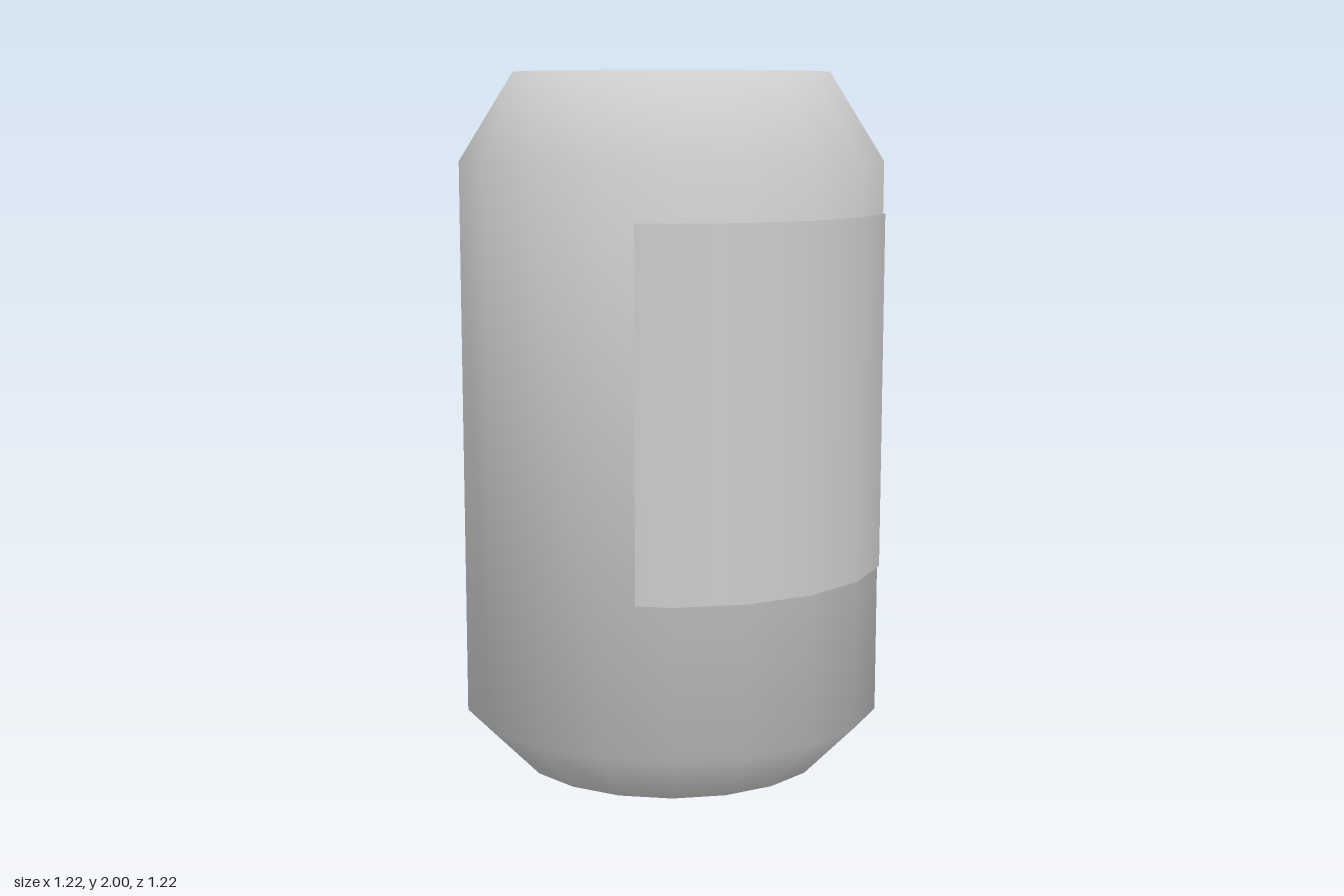
import * as THREE from 'three';

const SIDES = 19;
const RADIUS = 0.613;

const metal = new THREE.MeshStandardMaterial({ color: 0xcccccc });
metal.name = 'plain metal grey';

function addMesh(parent, name, geometry) {
  const mesh = new THREE.Mesh(geometry, metal);
  mesh.name = name;
  parent.add(mesh);
  return mesh;
}

// Lathe whose normals average neighbouring profile segments equally
function softLathe(profile, sides = SIDES) {
  const points = profile.map(([r, y]) => new THREE.Vector2(r, y));
  const geometry = new THREE.LatheGeometry(points, sides, Math.PI);
  const segments = points.slice(1).map((p, i) => {
    const d = p.clone().sub(points[i]).normalize();
    return new THREE.Vector2(d.y, -d.x);
  });
  const rows = points.map((p, i) => {
    const before = segments[Math.max(i - 1, 0)];
    const after = segments[Math.min(i, segments.length - 1)];
    return p.x === 0 ? new THREE.Vector2(0, Math.sign(before.y + after.y))
      : before.clone().add(after).normalize();
  });
  const normal = geometry.attributes.normal;
  for (let k = 0; k < normal.count; k++) {
    const row = rows[k % points.length];
    const phi = Math.PI + Math.floor(k / points.length) / sides * Math.PI * 2;
    normal.setXYZ(k, row.x * Math.sin(phi), row.y, row.x * Math.cos(phi));
  }
  return geometry;
}

// Flat plate lying in the xz plane, shape y pointing to the back
function plate(shape, depth, bevel) {
  return new THREE.ExtrudeGeometry(shape, {
    depth, bevelEnabled: bevel > 0, bevelSize: bevel, bevelOffset: -bevel,
    bevelThickness: bevel, bevelSegments: 3, curveSegments: 16,
  }).rotateX(-Math.PI / 2);
}

// Curved label that follows the facets of the body
function labelGeometry() {
  const step = Math.PI * 2 / SIDES;
  const arc = step * 6;
  const geometry = new THREE.CylinderGeometry(1, 1, 1.015, 24, 1, true, -arc / 2, arc);
  const pos = geometry.attributes.position;
  for (let i = 0; i < pos.count; i++) {
    const angle = Math.atan2(pos.getX(i), pos.getZ(i));
    const local = angle - Math.round(angle / step) * step;
    const r = RADIUS * Math.cos(step / 2) / Math.cos(local) + 0.006;
    pos.setX(i, r * Math.sin(angle));
    pos.setZ(i, r * Math.cos(angle));
  }
  return geometry.translate(0, 1.097, 0);
}

function pullTab() {
  const tab = new THREE.Group();
  tab.name = 'pullTab';
  const pivot = 0.1;

  // Rounded outline with a finger window and a round rivet opening
  const outline = new THREE.Shape();
  outline.absarc(0, pivot, 0.12, 0, Math.PI, false);
  outline.absarc(0, -0.135, 0.12, Math.PI, Math.PI * 2, false);
  outline.closePath();
  const window = new THREE.Path();
  window.moveTo(-0.045, -0.055);
  window.quadraticCurveTo(0, -0.045, 0.045, -0.055);
  window.lineTo(0.068, -0.175);
  window.quadraticCurveTo(0, -0.21, -0.068, -0.175);
  window.closePath();
  const opening = new THREE.Path();
  opening.absarc(0, pivot, 0.094, 0, Math.PI * 2, true);
  outline.holes.push(window, opening);
  addMesh(tab, 'tabPlate', plate(outline, 0.009, 0.008)).position.y = 0.008;

  // Tongue joined to the tab at the back
  const tongue = new THREE.Shape();
  tongue.absarc(0, pivot, 0.068, 0, Math.PI * 2, false);
  addMesh(tab, 'tongue', plate(tongue, 0.008, 0.004)).position.y = 0.005;
  const bridge = new THREE.Shape();
  bridge.absarc(0, pivot, 0.098, Math.PI * 0.25, Math.PI * 0.75, false);
  bridge.absarc(0, pivot, 0.055, Math.PI * 0.75, Math.PI * 0.25, true);
  bridge.closePath();
  addMesh(tab, 'tongueBridge', plate(bridge, 0.012, 0)).position.y = 0.003;

  // Domed rivet
  const rivet = softLathe([[0.045, 0], [0.045, 0.022], [0.036, 0.029], [0.02, 0.032], [0, 0.033]], 20);
  addMesh(tab, 'rivet', rivet).position.z = -pivot;
  return tab;
}

export function createModel() {
  const can = new THREE.Group();
  can.name = 'drinkCan';

  addMesh(can, 'bottom', softLathe([[0, 0], [0.457, 0]]));
  addMesh(can, 'body', softLathe([
    [0.457, 0], [RADIUS, 0.16], [RADIUS, 1.75], [0.457, 1.997], [0.345, 1.996], [0.331, 1.99],
  ]));
  addMesh(can, 'lid', softLathe([[0.331, 1.99], [0.331, 1.965], [0, 1.965]].map(([r, y]) => [r, y])));
  addMesh(can, 'label', labelGeometry());

  const tab = pullTab();
  tab.position.y = 1.967;
  can.add(tab);
  return can;
}
